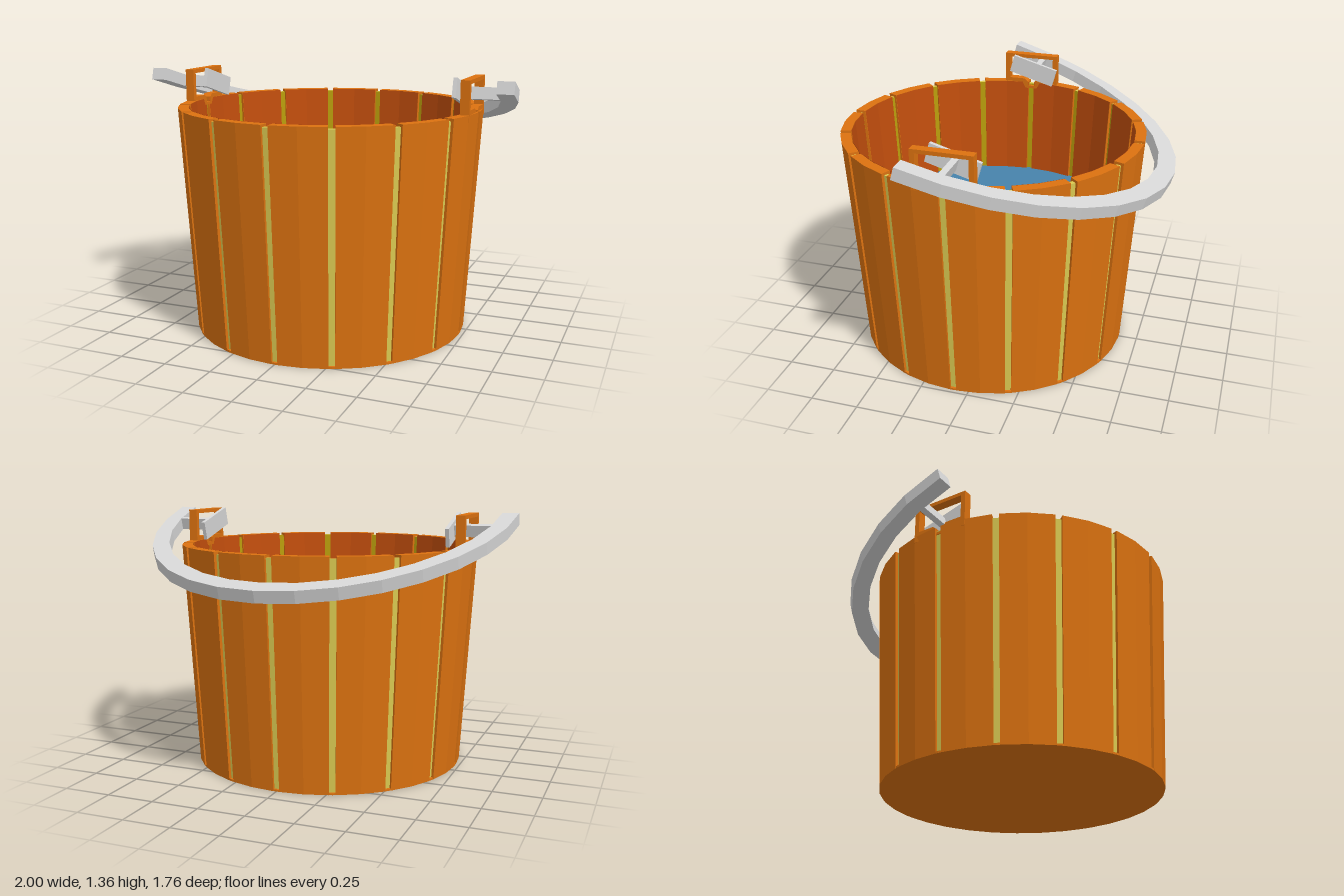
import * as THREE from 'three';

const HEIGHT = 1.185, R_BOTTOM = 0.73, R_TOP = 0.8, CENTER_Z = 0.08, STAVES = 16;
const taper = y => 1 + (R_TOP / R_BOTTOM - 1) * (y / HEIGHT);

const mat = (name, color, side = THREE.FrontSide) =>
  new THREE.MeshStandardMaterial({ name, color, side, flatShading: true });

function addMesh(parent, name, geometry, material, x = 0, y = 0, z = 0) {
  const mesh = new THREE.Mesh(geometry, material);
  mesh.name = name;
  mesh.position.set(x, y, z);
  parent.add(mesh);
  return mesh;
}

// Upright slat following an arc in plan, widening towards the top
function slat(angles, rIn, rOut, y0, y1) {
  const at = (r, a) => new THREE.Vector2(r * Math.sin(a), -r * Math.cos(a));
  const shape = new THREE.Shape([
    ...angles.map(a => at(rOut, a)),
    ...[...angles].reverse().map(a => at(rIn, a)),
  ]);
  const geo = new THREE.ExtrudeGeometry(shape, { depth: y1 - y0, bevelEnabled: false });
  geo.rotateX(-Math.PI / 2).translate(0, y0, 0);
  const p = geo.attributes.position;
  for (let i = 0; i < p.count; i++) {
    const s = taper(p.getY(i));
    p.setXYZ(i, p.getX(i) * s, p.getY(i), p.getZ(i) * s);
  }
  geo.computeVertexNormals();
  return geo;
}

// Square loop with a chamfered notch above the joint between two staves
function earGeometry() {
  const pts = list => list.map(([x, y]) => new THREE.Vector2(x, y));
  const shape = new THREE.Shape(pts([[-0.155, 1.15], [0.155, 1.15], [0.155, 1.355], [-0.155, 1.355]]));
  shape.holes.push(new THREE.Path(pts([
    [-0.13, 1.335], [0.13, 1.335], [0.13, 1.207], [0.04, 1.207], [0.02, 1.19],
    [0.02, 1.165], [-0.02, 1.165], [-0.02, 1.19], [-0.04, 1.207], [-0.13, 1.207],
  ])));
  return new THREE.ExtrudeGeometry(shape, { depth: 0.047, bevelEnabled: false })
    .translate(0, 0, -0.0235).rotateY(Math.PI / 2);
}

// Flat half-elliptical hoop lying in the xz plane, open towards +z
function hoopGeometry() {
  const arc = (rx, rz) => Array.from({ length: 17 }, (_, i) => {
    const a = Math.PI * i / 16;
    return new THREE.Vector2(rx * Math.cos(a), rz * Math.sin(a));
  });
  const shape = new THREE.Shape([...arc(1, 1.146), ...arc(0.913, 1.05).reverse()]);
  return new THREE.ExtrudeGeometry(shape, { depth: 0.064, bevelEnabled: false })
    .translate(0, 0, -0.032).rotateX(-Math.PI / 2);
}

export function createModel() {
  const model = new THREE.Group();
  model.name = 'bucket';
  const wood = mat('orange wood', 0xdc7210);
  const innerWood = mat('inner wood', 0xc24e0d, THREE.DoubleSide);
  const joint = mat('yellow joint', 0xdccb52);
  const innerJoint = mat('inner joint', 0xb89c0c, THREE.DoubleSide);
  const water = mat('blue water', 0x4783ab);
  const metal = mat('grey metal', 0xd6d6d6);

  const tub = new THREE.Group();
  tub.name = 'tub';
  tub.position.z = CENTER_Z;
  model.add(tub);

  // Thin coloured lining on the inner face of a slat
  const lining = (r, a, length, segments, y1) => {
    const y0 = 0.6;
    return new THREE.CylinderGeometry(r * taper(y1), r * taper(y0), y1 - y0, segments, 1, true, a, length)
      .translate(0, (y0 + y1) / 2, 0);
  };

  // Staves with recessed joints between them
  const step = Math.PI * 2 / STAVES, gap = 0.022;
  for (let i = 0; i < STAVES; i++) {
    const a = i * step;
    addMesh(tub, 'stave', slat([a + gap, a + step / 2, a + step - gap], 0.68, R_BOTTOM, 0, HEIGHT), wood);
    addMesh(tub, 'staveLining', lining(0.678, a + gap, step - 2 * gap, 2, HEIGHT), innerWood);
    addMesh(tub, 'joint', slat([a - 0.028, a + 0.028], 0.695, 0.716, 0.005, 1.172), joint);
    addMesh(tub, 'jointLining', lining(0.693, a - 0.028, 0.056, 1, 1.172), innerJoint);
  }

  // Base and water surface
  addMesh(tub, 'base', new THREE.CylinderGeometry(R_BOTTOM, R_BOTTOM, 0.01, 32), wood, 0, 0.005, 0);
  addMesh(tub, 'water', new THREE.CylinderGeometry(0.725, 0.725, 0.02, 32), water, 0, 0.63, 0);

  // Tilted handle with a pin and inner plate on each side
  const handle = new THREE.Group();
  handle.name = 'handle';
  handle.position.set(0, 1.325, 0.228);
  handle.rotation.x = -0.28;
  model.add(handle);
  addMesh(handle, 'hoop', hoopGeometry(), metal);

  for (const side of [1, -1]) {
    addMesh(tub, 'ear', earGeometry(), wood, side * 0.7625, 0, 0);
    addMesh(handle, 'pin', new THREE.BoxGeometry(0.23, 0.062, 0.03), metal, side * 0.815, 0, -0.19);
    addMesh(handle, 'pinPlate', new THREE.BoxGeometry(0.02, 0.1, 0.263), metal, side * 0.695, 0, -0.18);
  }
  return model;
}
